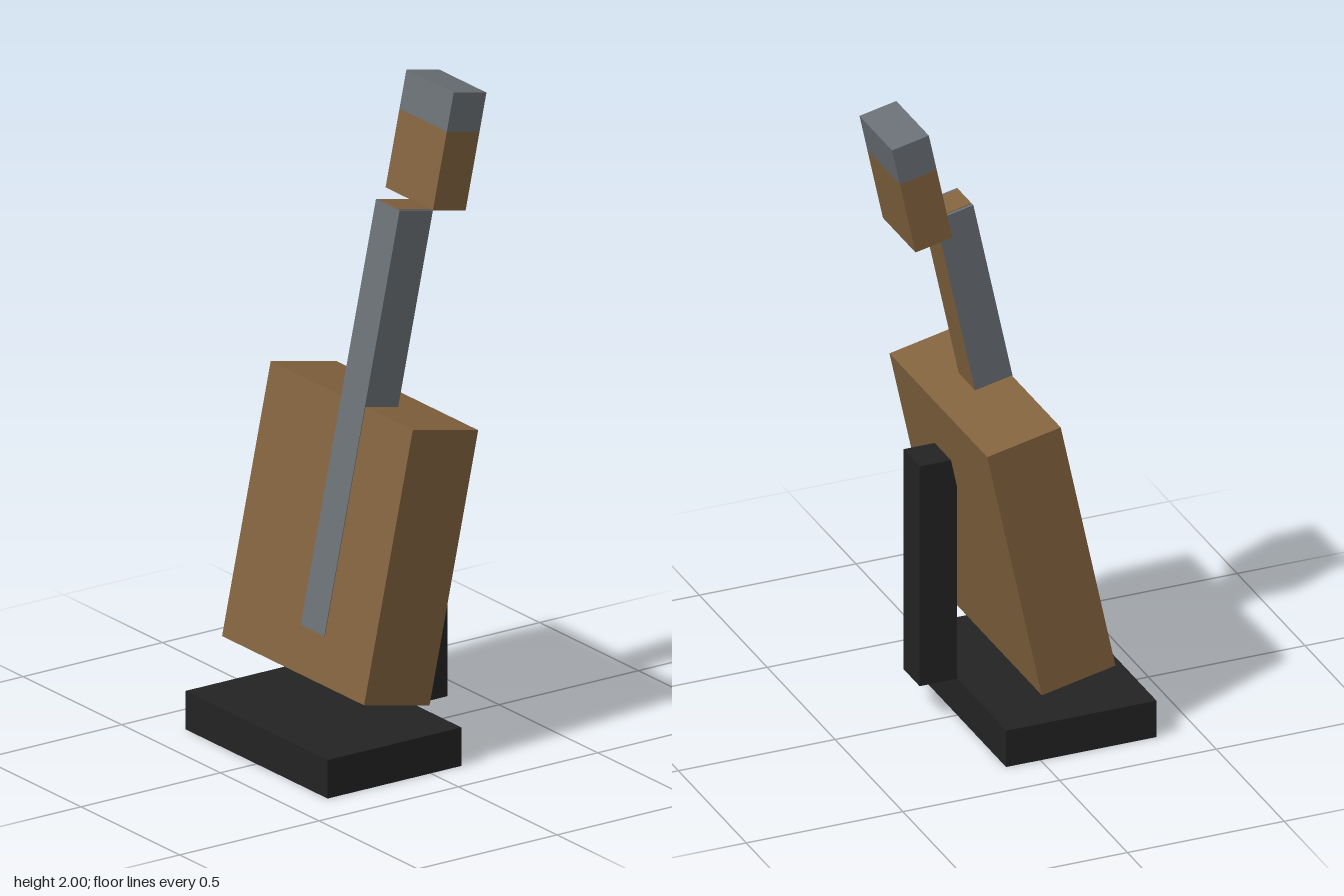
import * as THREE from 'three';

export function createModel() {
  const wood = new THREE.MeshStandardMaterial({ name: 'brown wood', color: 0x83633e });
  const metal = new THREE.MeshStandardMaterial({ name: 'grey', color: 0x6a7075 });
  const black = new THREE.MeshStandardMaterial({ name: 'black stand', color: 0x232323, side: THREE.DoubleSide });

  // Box from its min and max corners
  function box(parent, name, material, [x0, y0, z0], [x1, y1, z1]) {
    const geometry = new THREE.BoxGeometry(x1 - x0, y1 - y0, z1 - z0);
    const mesh = new THREE.Mesh(geometry, material);
    mesh.position.set((x0 + x1) / 2, (y0 + y1) / 2, (z0 + z1) / 2);
    mesh.name = name;
    parent.add(mesh);
    return mesh;
  }

  const model = new THREE.Group();
  model.name = 'guitarOnStand';

  // Stand: hollow base, open underneath, with an upright post behind it
  const stand = new THREE.Group();
  stand.name = 'stand';
  const base = box(stand, 'standBase', black, [-0.36, 0, -0.11], [0.36, 0.12, 0.37]);
  const index = Array.from(base.geometry.index.array);
  index.splice(18, 6); // remove the bottom face
  base.geometry.setIndex(index);
  base.geometry.clearGroups();
  box(stand, 'standPost', black, [0, 0.12, -0.23], [0.12, 0.845, -0.11]);
  model.add(stand);

  // Guitar leans back; its local z = 0 is the front plane of the body
  const guitar = new THREE.Group();
  guitar.name = 'guitar';
  guitar.position.set(0, 0.263, 0.239);
  guitar.rotation.x = THREE.MathUtils.degToRad(-12);
  model.add(guitar);

  box(guitar, 'body', wood, [-0.36, 0, -0.24], [0.36, 0.84, 0]);

  // Neck: grey with a wooden back
  box(guitar, 'neck', [metal, metal, metal, metal, metal, wood], [0, 0.14, -0.12], [0.12, 1.44, 0.002]);
  box(guitar, 'neckTopInlay', wood, [0.01, 1.438, -0.12], [0.11, 1.442, 0]);

  // Headstock: wood below, grey tip
  box(guitar, 'headstock', wood, [-0.12, 1.44, -0.24], [0.12, 1.68, -0.12]);
  box(guitar, 'headstockTip', metal, [-0.12, 1.68, -0.24], [0.12, 1.8, -0.12]);

  return model;
}
